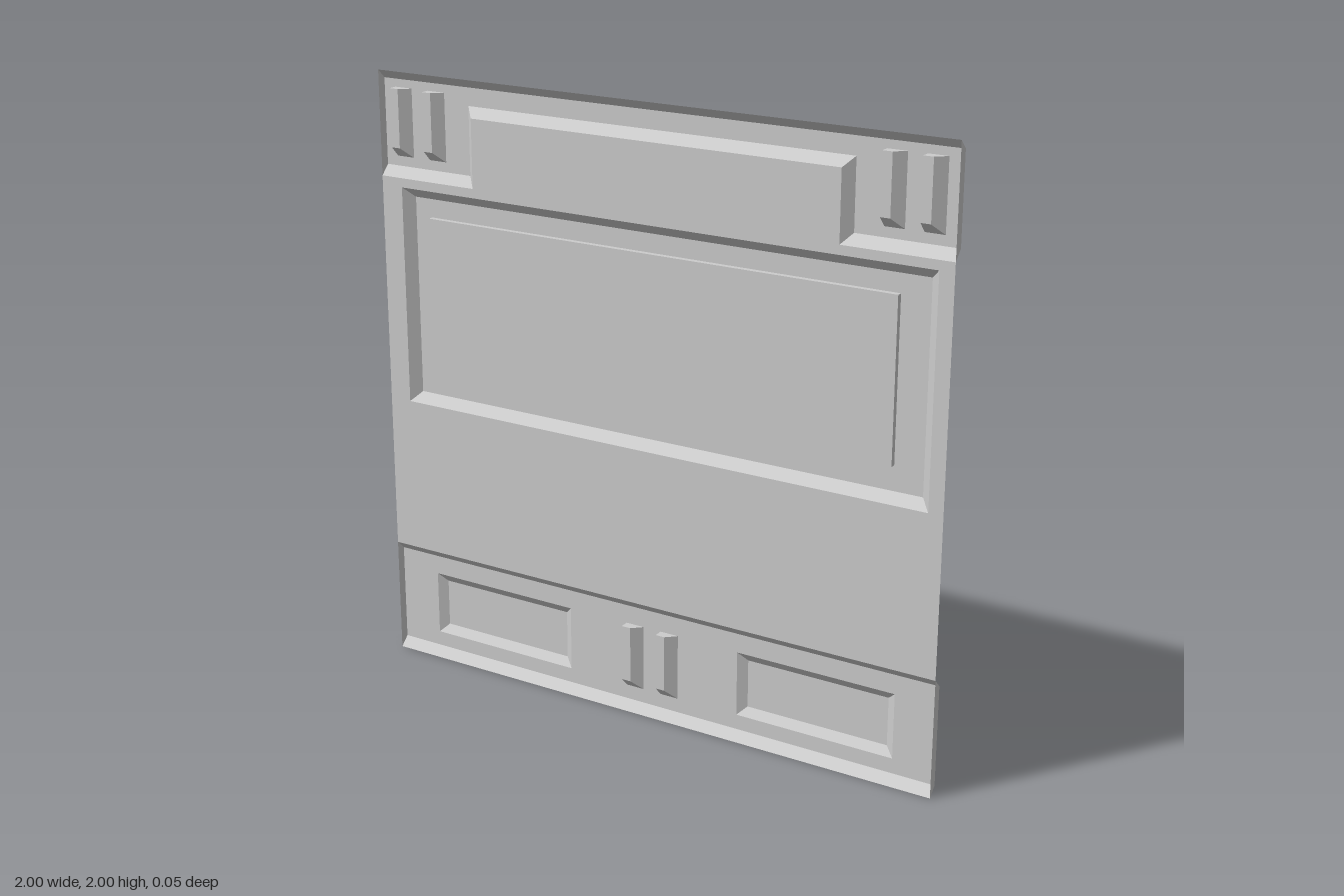
import * as THREE from 'three';

// Depths of the pressed sheet: flat sheet, raised trim, raised pads, sunk screen
const SHEET = 0.025, TRIM = -0.005, PAD = -0.025, SCREEN = 0.013;

const panelGrey = new THREE.MeshStandardMaterial({ color: 0xcccccc, side: THREE.DoubleSide });
panelGrey.name = 'panelGrey';

const rect = (x0, y0, x1, y1) => [[x0, y0], [x1, y0], [x1, y1], [x0, y1]];

function addMesh(parent, name, geometry) {
  const mesh = new THREE.Mesh(geometry, panelGrey);
  mesh.name = name;
  parent.add(mesh);
}

// Flat face with optional holes at depth z
function face(parent, name, outline, z, holes = []) {
  const toVectors = (pts) => pts.map(([x, y]) => new THREE.Vector2(x, y));
  const shape = new THREE.Shape(toVectors(outline));
  for (const hole of holes) shape.holes.push(new THREE.Path(toVectors(hole)));
  const geometry = new THREE.ShapeGeometry(shape);
  geometry.translate(0, 0, z);
  addMesh(parent, name, geometry);
}

// Flat-shaded wall joining two outlines with the same number of corners
function wall(parent, name, a, za, b, zb) {
  const positions = [];
  a.forEach((p, i) => {
    const j = (i + 1) % a.length;
    const p0 = [...p, za], p1 = [...a[j], za], q0 = [...b[i], zb], q1 = [...b[j], zb];
    positions.push(...p0, ...q1, ...p1, ...p0, ...q0, ...q1);
  });
  const geometry = new THREE.BufferGeometry();
  geometry.setAttribute('position', new THREE.Float32BufferAttribute(positions, 3));
  geometry.computeVertexNormals();
  addMesh(parent, name, geometry);
}

// Slot pressed back to the sheet, sloped on its right and lower sides
function slot(parent, opening) {
  const [[x0, y0], , [x1, y1]] = opening;
  const floor = rect(x0, y0 + 0.032, x1 - 0.032, y1);
  wall(parent, 'slotWall', opening, TRIM, floor, SHEET);
  face(parent, 'slotFloor', floor, SHEET);
}

export function createModel() {
  const model = new THREE.Group();
  model.name = 'wallPanel';
  const group = (name) => {
    const g = new THREE.Group();
    g.name = name;
    model.add(g);
    return g;
  };

  // Flat sheet between the trims, opened behind the screen frame
  const frameOuter = rect(-0.923, 0.91, 0.952, 1.63);
  face(model, 'sheet', [
    [-1, 0.39], [1, 0.39], [1, 1.66], [0.642, 1.66],
    [0.642, 1.882], [-0.642, 1.882], [-0.642, 1.66], [-1, 1.66],
  ], SHEET, [frameOuter]);

  // Screen frame with its sunk screen
  const screenFrame = group('screenFrame');
  const frameInner = rect(-0.891, 0.942, 0.92, 1.598);
  const screen = rect(-0.828, 1.022, 0.825, 1.538);
  wall(screenFrame, 'frameBevel', frameOuter, SHEET, frameInner, TRIM);
  face(screenFrame, 'frameFace', frameInner, TRIM, [screen]);
  wall(screenFrame, 'screenEdge', screen, TRIM, screen, SCREEN);
  face(screenFrame, 'screen', screen, SCREEN);

  // Top trim: a band with a drop at each end
  const topTrim = group('topTrim');
  const bracket = (top, middle, low, x) => [
    [-1, low], [-x, low], [-x, middle], [x, middle],
    [x, low], [1, low], [1, top], [-1, top],
  ];
  const topInner = bracket(1.971, 1.913, 1.692, 0.672);
  const topSlots = [-0.957, -0.829, 0.765, 0.889].map((x) => rect(x, 1.724, x + 0.064, 1.945));
  wall(topTrim, 'topTrimBevel', bracket(2, 1.882, 1.66, 0.642), SHEET, topInner, TRIM);
  face(topTrim, 'topTrimFace', topInner, TRIM, topSlots);
  topSlots.forEach((s) => slot(topTrim, s));

  // Bottom trim: a straight band with two slots and two pads
  const bottomTrim = group('bottomTrim');
  const bottomInner = rect(-1, 0.03, 1, 0.36);
  const bottomSlots = [-0.096, 0.032].map((x) => rect(x, 0.078, x + 0.064, 0.298));
  const pads = [-0.857, 0.313].map((x) => rect(x, 0.08, x + 0.544, 0.296));
  wall(bottomTrim, 'bottomTrimBevel', rect(-1, 0, 1, 0.39), SHEET, bottomInner, TRIM);
  face(bottomTrim, 'bottomTrimFace', bottomInner, TRIM, [...bottomSlots, ...pads]);
  bottomSlots.forEach((s) => slot(bottomTrim, s));
  for (const pad of pads) {
    const [[x0, y0], , [x1, y1]] = pad;
    const top = rect(x0 + 0.029, y0 + 0.028, x1 - 0.029, y1 - 0.028);
    wall(bottomTrim, 'padBevel', pad, TRIM, top, PAD);
    face(bottomTrim, 'padFace', top, PAD);
  }

  return model;
}
